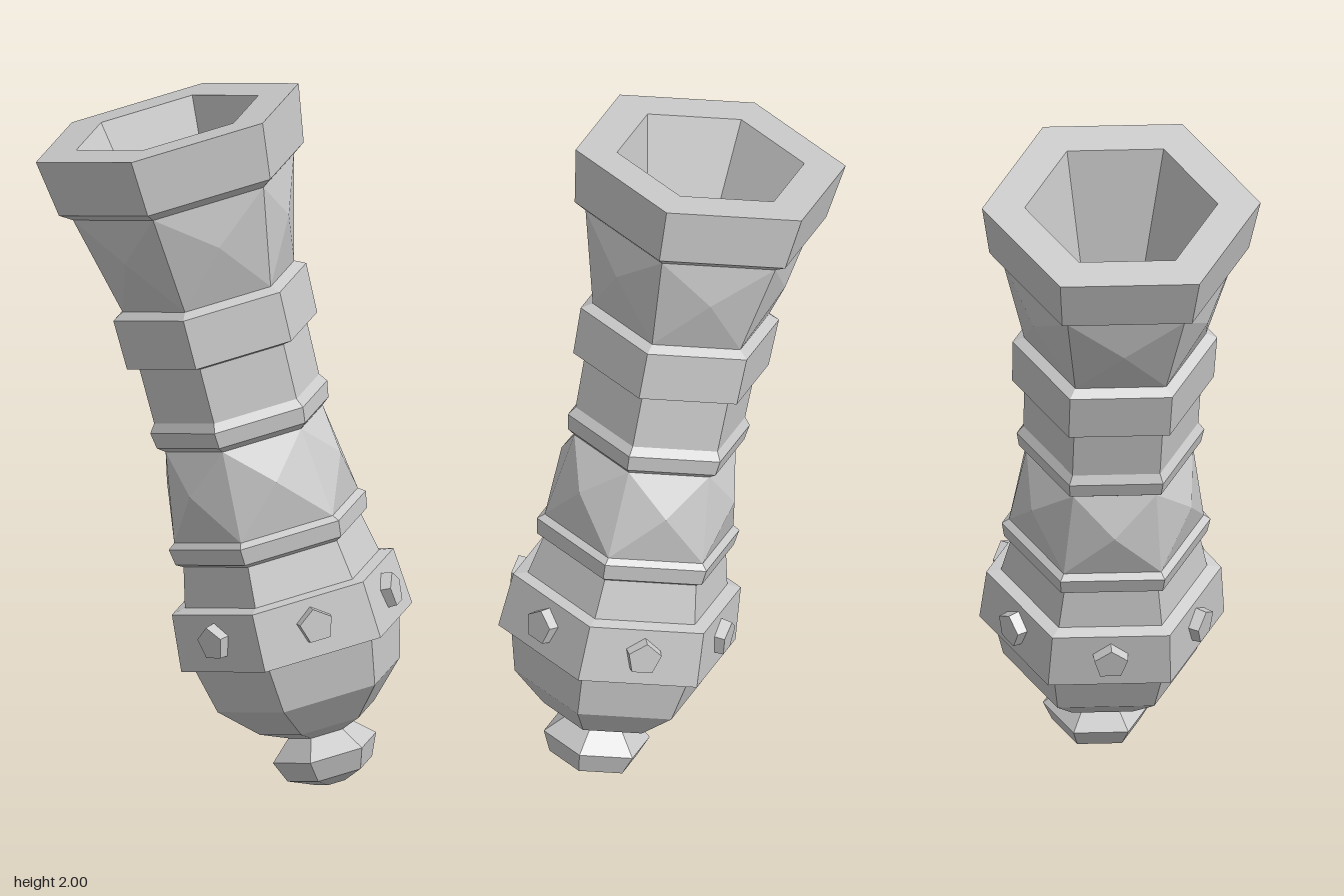
import * as THREE from 'three';

const SIDES = 6;
const material = new THREE.MeshStandardMaterial({ color: 0xcccccc, flatShading: true });

// Six-sided turned part from [radius, height] points, bottom to top
function turned(name, points) {
  const profile = points.map(([r, h]) => new THREE.Vector2(r, h));
  const mesh = new THREE.Mesh(new THREE.LatheGeometry(profile, SIDES), material);
  mesh.name = name;
  return mesh;
}

// Six-sided section whose side panels each rise to a shallow point
function faceted(name, r0, h0, r1, h1, midDistance, midHeight) {
  const corner = (i, r, h) => {
    const a = (i * Math.PI * 2) / SIDES;
    return [r * Math.sin(a), h, r * Math.cos(a)];
  };
  const positions = [];
  for (let i = 0; i < SIDES; i++) {
    const ring = [corner(i, r0, h0), corner(i + 1, r0, h0), corner(i + 1, r1, h1), corner(i, r1, h1)];
    const peak = corner(i + 0.5, midDistance, midHeight);
    for (let k = 0; k < 4; k++) positions.push(...ring[k], ...ring[(k + 1) % 4], ...peak);
  }
  const geometry = new THREE.BufferGeometry();
  geometry.setAttribute('position', new THREE.Float32BufferAttribute(positions, 3));
  geometry.computeVertexNormals();
  const mesh = new THREE.Mesh(geometry, material);
  mesh.name = name;
  return mesh;
}

export function createModel() {
  const cannon = new THREE.Group();
  cannon.name = 'cannon';

  cannon.add(
    // Rear knob and rounded breech
    turned('knob', [[0, 0], [0.05, 0.008], [0.127, 0.042], [0.155, 0.105], [0.09, 0.165]]),
    turned('breech', [[0.08, 0.155], [0.172, 0.195], [0.274, 0.293], [0.309, 0.433]]),
    turned('breechBand', [[0.309, 0.433], [0.347, 0.435], [0.333, 0.602], [0.292, 0.61]]),
    turned('breechNeck', [[0.292, 0.61], [0.267, 0.725]]),
    turned('lowerRing', [[0.267, 0.725], [0.288, 0.737], [0.296, 0.785], [0.276, 0.8]]),
    // Barrel
    faceted('lowerBarrel', 0.276, 0.8, 0.236, 1.06, 0.262, 0.945),
    turned('middleRing', [[0.236, 1.06], [0.258, 1.077], [0.266, 1.124], [0.248, 1.149]]),
    turned('middleBarrel', [[0.248, 1.149], [0.251, 1.312]]),
    turned('upperBand', [[0.251, 1.312], [0.286, 1.322], [0.29, 1.468], [0.258, 1.485]]),
    faceted('flaredBarrel', 0.258, 1.485, 0.332, 1.782, 0.285, 1.65),
    // Muzzle rim and tapering bore
    turned('muzzleRim', [[0.332, 1.782], [0.368, 1.806], [0.395, 1.974], [0.274, 1.974]]),
    turned('bore', [[0.274, 1.974], [0.162, 1.54], [0, 1.22]])
  );

  // One pentagonal stud on each side of the breech band
  const studGeometry = new THREE.CylinderGeometry(0.05, 0.055, 0.06, 5);
  studGeometry.rotateY(Math.PI);
  studGeometry.rotateX(Math.PI / 2);
  for (let i = 0; i < SIDES; i++) {
    const a = ((i + 0.5) * Math.PI * 2) / SIDES;
    const stud = new THREE.Mesh(studGeometry, material);
    stud.name = 'stud';
    stud.position.set(0.293 * Math.sin(a), 0.525, 0.293 * Math.cos(a));
    stud.rotation.y = a;
    cannon.add(stud);
  }

  // Lean the barrel and turn one corner roughly to the front
  const up = new THREE.Vector3(-0.126, 0.971, -0.207).normalize();
  const right = new THREE.Vector3().crossVectors(up, new THREE.Vector3(-0.064, 0.211, 0.977)).normalize();
  const front = new THREE.Vector3().crossVectors(right, up);
  cannon.quaternion.setFromRotationMatrix(new THREE.Matrix4().makeBasis(right, up, front));
  cannon.position.set(0.17, 0, 0.27);

  const model = new THREE.Group();
  model.name = 'model';
  model.add(cannon);
  return model;
}
